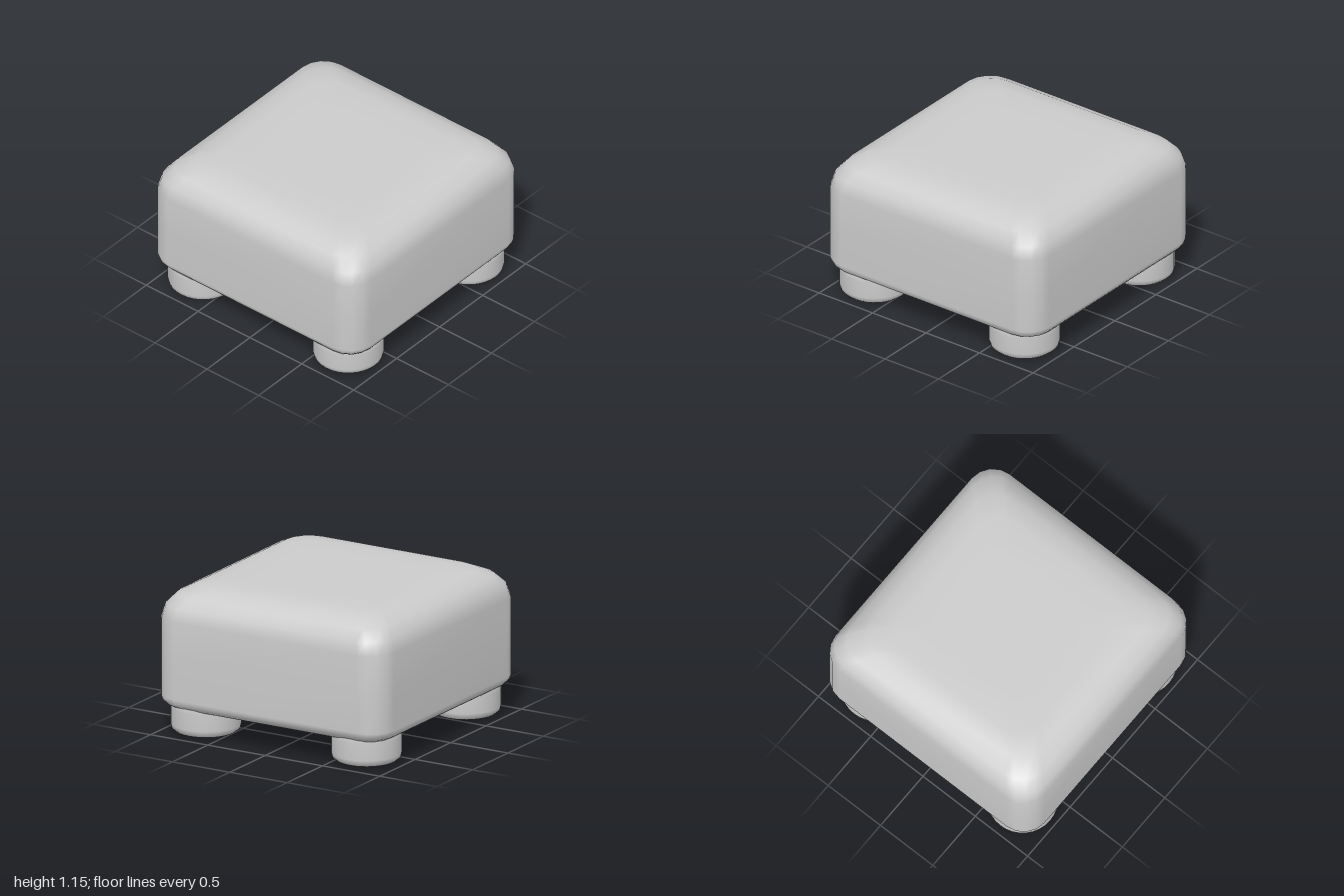
import * as THREE from 'three';

const material = new THREE.MeshStandardMaterial({ color: 0xcccccc });

// One closed horizontal ring: a square of half width h with corners rounded by r
function roundedSquare(h, r, y, steps = 4) {
  const points = [];
  for (let corner = 0; corner < 4; corner++) {
    const mid = Math.PI / 4 + corner * Math.PI / 2;
    const cx = Math.sign(Math.cos(mid)) * (h - r);
    const cz = Math.sign(Math.sin(mid)) * (h - r);
    for (let i = 0; i <= steps; i++) {
      const a = (corner + i / steps) * Math.PI / 2;
      points.push(new THREE.Vector3(cx + r * Math.cos(a), y, cz + r * Math.sin(a)));
    }
  }
  return points;
}

// Join rings from bottom to top and close both ends with a centre point
function loft(rings) {
  const n = rings[0].length;
  const points = rings.flat();
  const index = [];
  for (let k = 0; k < rings.length - 1; k++) {
    for (let i = 0; i < n; i++) {
      const a = k * n + i, b = k * n + (i + 1) % n;
      index.push(a, a + n, b, b, a + n, b + n);
    }
  }
  const bottom = points.length, top = bottom + 1, last = (rings.length - 1) * n;
  points.push(new THREE.Vector3(0, rings[0][0].y, 0));
  points.push(new THREE.Vector3(0, rings[rings.length - 1][0].y, 0));
  for (let i = 0; i < n; i++) {
    const j = (i + 1) % n;
    index.push(bottom, i, j, top, last + j, last + i);
  }
  const geometry = new THREE.BufferGeometry().setFromPoints(points);
  geometry.setIndex(index);
  geometry.computeVertexNormals();
  return geometry;
}

function createCushion() {
  // Half width, corner radius and height of each ring
  const profile = [
    [0.60, 0.12, 0.19], [0.84, 0.16, 0.19], [0.89, 0.17, 0.2], [0.935, 0.18, 0.217],
    [0.97, 0.19, 0.24], [0.99, 0.2, 0.265], [1, 0.2, 0.3], [1, 0.2, 0.6], [1, 0.2, 0.9],
    [0.975, 0.2, 1], [0.91, 0.2, 1.08], [0.8, 0.19, 1.135], [0.66, 0.17, 1.155],
    [0.4, 0.1, 1.155],
  ];
  const cushion = new THREE.Mesh(loft(profile.map(([h, r, y]) => roundedSquare(h, r, y))), material);
  cushion.name = 'cushion';
  return cushion;
}

function createLegGeometry() {
  // Short round foot with a softened lower edge; its top is buried in the cushion
  const profile = [
    [0, 0], [0.14, 0], [0.2, 0.005], [0.235, 0.017], [0.257, 0.038],
    [0.265, 0.07], [0.265, 0.2], [0.265, 0.3], [0, 0.3],
  ].map(([x, y]) => new THREE.Vector2(x, y));
  return new THREE.LatheGeometry(profile, 32);
}

export function createModel() {
  const group = new THREE.Group();
  group.name = 'footstool';
  group.add(createCushion());

  const legGeometry = createLegGeometry();
  for (const x of [-1, 1]) {
    for (const z of [-1, 1]) {
      const leg = new THREE.Mesh(legGeometry, material);
      leg.name = (z > 0 ? 'front' : 'back') + (x > 0 ? 'Left' : 'Right') + 'Leg';
      leg.position.set(x * 0.7 - 0.005, 0, z * 0.7 + 0.005);
      group.add(leg);
    }
  }
  return group;
}
